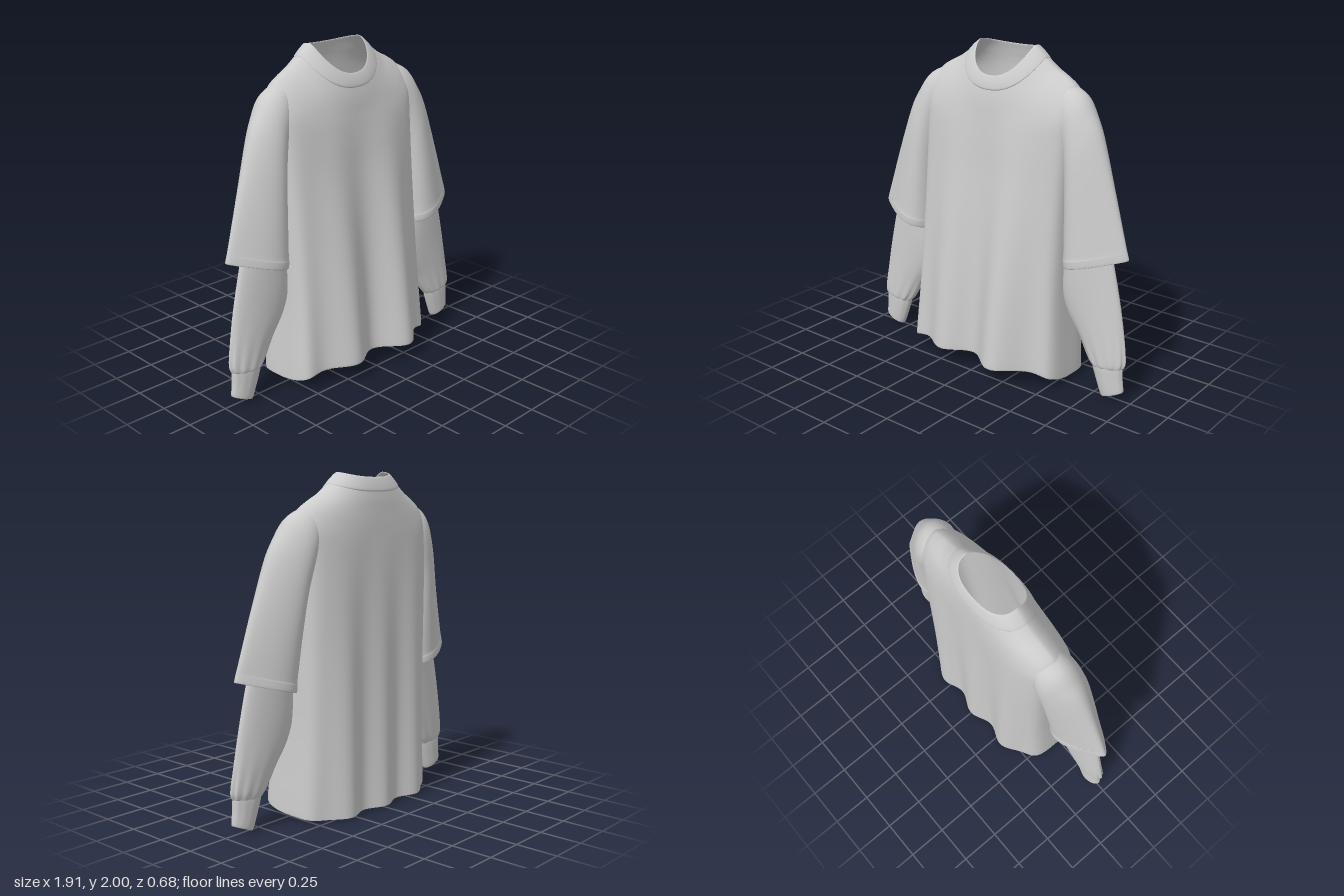
import * as THREE from 'three';

const material = new THREE.MeshStandardMaterial({ color: 0xcccccc, side: THREE.DoubleSide });
const TAU = Math.PI * 2;

// Smoothly interpolate between rows of section parameters
function sampleRows(rows, u) {
  const f = u * (rows.length - 1);
  const i = Math.min(Math.floor(f), rows.length - 2), t = f - i;
  const a = rows[Math.max(i - 1, 0)], b = rows[i], c = rows[i + 1], d = rows[Math.min(i + 2, rows.length - 1)];
  return b.map((v, k) => {
    const m0 = (c[k] - a[k]) / 2, m1 = (d[k] - v) / 2;
    return v + m0 * t + (3 * (c[k] - v) - 2 * m0 - m1) * t * t + (2 * (v - c[k]) + m0 + m1) * t ** 3;
  });
}

// Skin closed rings; point(row, angle) returns [x, y, z]
function loft(name, rows, point, segments, stepsPerRow) {
  const steps = (rows.length - 1) * stepsPerRow;
  const positions = [], index = [];
  for (let j = 0; j <= steps; j++) {
    const row = sampleRows(rows, j / steps);
    for (let i = 0; i < segments; i++) positions.push(...point(row, (i / segments) * TAU));
  }
  for (let j = 0; j < steps; j++) {
    for (let i = 0; i < segments; i++) {
      const a = j * segments + i, b = j * segments + (i + 1) % segments;
      index.push(a, a + segments, b, b, a + segments, b + segments);
    }
  }
  const geometry = new THREE.BufferGeometry();
  geometry.setAttribute('position', new THREE.Float32BufferAttribute(positions, 3));
  geometry.setIndex(index);
  geometry.computeVertexNormals();
  const mesh = new THREE.Mesh(geometry, material);
  mesh.name = name;
  return mesh;
}

// Torso ring: row = half width, front z, back z, side y, front y, back y, squareness
function torsoPoint([w, zf, zb, ys, yf, yb, n], angle) {
  const cos = Math.cos(angle), sin = Math.sin(angle);
  const r = (Math.abs(cos) ** n + Math.abs(sin) ** n) ** (-1 / n);
  const c = r * cos, s = r * sin;
  const x = w * c;
  let z = (zf + zb) / 2 + (zf - zb) / 2 * s;
  const y = ys + ((s > 0 ? yf : yb) - ys) * Math.abs(s) ** 1.5;
  // The shoulder line sits slightly behind the middle
  z -= 0.02 * (1 - s * s) * THREE.MathUtils.smoothstep(y, 1.6, 2);
  // Hanging folds that deepen towards the hem
  const fall = Math.max(0, 1 - y / 1.65), face = Math.abs(s) ** 1.3;
  if (s > 0) z += fall * face * (-0.055 * Math.cos(TAU * x / 0.42) + 0.02 * Math.sin(TAU * x / 0.8));
  else z -= fall * face * 0.026 * Math.cos(TAU * x / 0.31);
  return [x, y, z];
}

// Sleeve ring: row = outer x, outer y, inner x, inner y, z centre, z half depth, taper, pleat depth
function sleevePoint(side) {
  return ([ox, oy, ix, iy, zc, hz, taper, pleat], angle) => {
    const c = Math.cos(angle), s = Math.sin(angle);
    const ripple = 1 + pleat * Math.cos(angle * 11);
    const k = c * ripple;
    const x = (ox + ix) / 2 + (ox - ix) / 2 * k;
    const y = (oy + iy) / 2 + (oy - iy) / 2 * k;
    return [side * x, y, zc - side * hz * s * ripple * (1 - taper * c)];
  };
}

export function createModel() {
  const shirt = new THREE.Group();
  shirt.name = 'layeredShirt';

  // Torso from the hem up over the shoulders to the neckline
  shirt.add(loft('torso', [
    [0.550, 0.272, -0.309, 0.028, 0.105, 0.01, 3.8],
    [0.549, 0.270, -0.309, 0.09, 0.16, 0.07, 3.8],
    [0.527, 0.232, -0.302, 0.50, 0.52, 0.50, 4],
    [0.520, 0.185, -0.295, 0.90, 0.90, 0.90, 4],
    [0.520, 0.137, -0.287, 1.30, 1.25, 1.27, 4],
    [0.528, 0.118, -0.283, 1.56, 1.42, 1.48, 3.5],
    [0.535, 0.105, -0.280, 1.72, 1.53, 1.62, 3],
    [0.495, 0.096, -0.277, 1.80, 1.60, 1.71, 2.6],
    [0.430, 0.090, -0.273, 1.845, 1.65, 1.78, 2.4],
    [0.350, 0.083, -0.269, 1.885, 1.70, 1.84, 2.3],
    [0.278, 0.074, -0.262, 1.935, 1.745, 1.89, 2.3],
  ], torsoPoint, 176, 6));

  // Ribbed neck band, rolled over at the opening and lined back to the seam
  shirt.add(loft('collar', [
    [0.279, 0.074, -0.262, 1.932, 1.742, 1.887, 2.3],
    [0.276, 0.078, -0.265, 1.941, 1.752, 1.898, 2.3],
    [0.243, 0.070, -0.254, 1.972, 1.786, 1.935, 2.3],
    [0.208, 0.056, -0.240, 1.998, 1.820, 1.968, 2.3],
    [0.200, 0.050, -0.233, 1.996, 1.822, 1.968, 2.3],
    [0.228, 0.056, -0.242, 1.968, 1.790, 1.935, 2.3],
    [0.268, 0.064, -0.254, 1.930, 1.742, 1.882, 2.3],
  ], torsoPoint, 96, 4));

  for (const [side, label] of [[1, 'left'], [-1, 'right']]) {
    // Wide drop-shoulder sleeve with a hemmed opening
    shirt.add(loft(label + 'ShortSleeve', [
      [0.430, 1.815, 0.425, 1.52, -0.105, 0.100, 0, 0],
      [0.505, 1.792, 0.455, 1.45, -0.100, 0.125, 0, 0],
      [0.575, 1.750, 0.475, 1.38, -0.092, 0.135, 0.06, 0],
      [0.635, 1.668, 0.490, 1.30, -0.080, 0.138, 0.14, 0],
      [0.705, 1.545, 0.505, 1.18, -0.065, 0.138, 0.27, 0],
      [0.805, 1.270, 0.515, 1.00, -0.045, 0.132, 0.42, 0],
      [0.907, 0.955, 0.522, 0.83, -0.028, 0.126, 0.55, 0],
      [0.920, 0.915, 0.522, 0.80, -0.026, 0.129, 0.56, 0],
      [0.932, 0.872, 0.527, 0.76, -0.026, 0.128, 0.56, 0],
      [0.917, 0.875, 0.540, 0.768, -0.026, 0.117, 0.56, 0],
    ], sleevePoint(side), 64, 5));

    // Long under-sleeve, gathered above the cuff
    shirt.add(loft(label + 'LongSleeve', [
      [0.660, 1.350, 0.510, 1.05, -0.04, 0.08, 0.1, 0],
      [0.770, 1.080, 0.510, 0.82, -0.025, 0.075, 0.15, 0],
      [0.835, 0.850, 0.505, 0.60, -0.017, 0.072, 0.2, 0],
      [0.895, 0.600, 0.545, 0.47, -0.014, 0.068, 0.2, 0],
      [0.933, 0.400, 0.630, 0.345, -0.010, 0.063, 0.15, 0.01],
      [0.951, 0.260, 0.695, 0.235, -0.004, 0.058, 0.1, 0.035],
      [0.945, 0.215, 0.725, 0.195, 0, 0.053, 0.1, 0.045],
      [0.935, 0.200, 0.737, 0.180, 0, 0.047, 0.1, 0.02],
    ], sleevePoint(side), 88, 5));

    // Snug cuff with a turned-in edge
    shirt.add(loft(label + 'Cuff', [
      [0.930, 0.215, 0.740, 0.195, 0, 0.045, 0.1, 0],
      [0.937, 0.200, 0.738, 0.175, 0, 0.049, 0.1, 0.01],
      [0.940, 0.130, 0.767, 0.090, 0, 0.047, 0.1, 0.01],
      [0.948, 0.062, 0.800, 0.005, 0, 0.043, 0.1, 0],
      [0.940, 0.062, 0.808, 0.012, 0, 0.036, 0.1, 0],
      [0.933, 0.150, 0.775, 0.110, 0, 0.038, 0.1, 0],
    ], sleevePoint(side), 64, 4));
  }
  return shirt;
}
